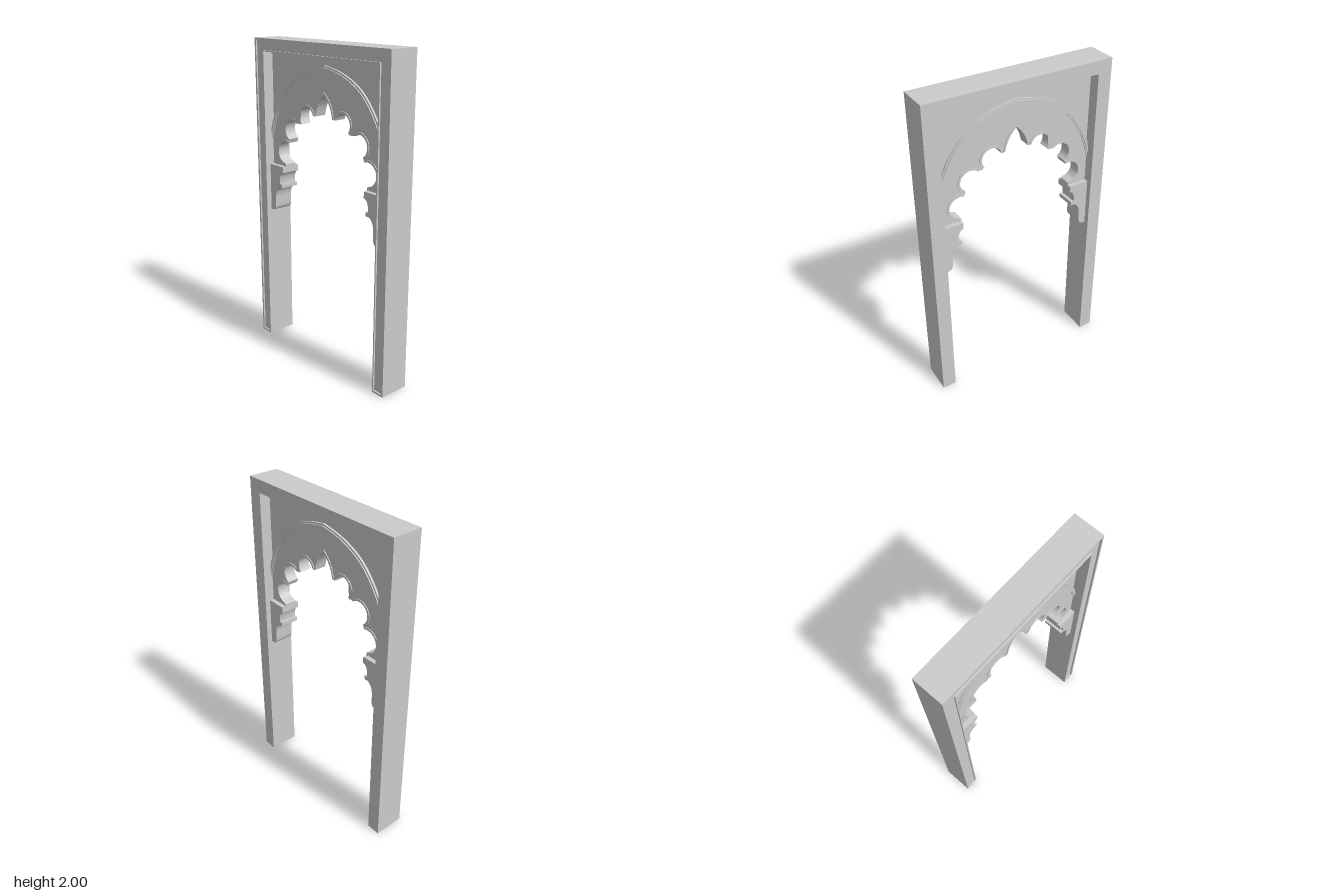
import * as THREE from 'three';
import { toCreasedNormals } from 'three/addons/utils/BufferGeometryUtils.js';

const W = 0.587, H = 2, D = 0.096;       // frame half width, height, half depth
const IW = 0.5, IH = 1.92;               // clear opening of the frame
const SPRING = 1.205;                    // level where the arch meets the corbels

const V = (x, y) => new THREE.Vector2(x, y);
const mirror = (pts) => pts.map((p) => V(-p.x, p.y)).reverse();
// Full left-to-right line from a half running apex -> right end
const whole = (half) => [...mirror(half), ...half.slice(1)];
const band = (outer, inner) => new THREE.Shape([...outer, ...[...inner].reverse()]);

// U-shaped (doorway) outline between two inset rectangles
function doorway(outX, outY, inX, inY, bottom = 0) {
  return new THREE.Shape([
    V(-outX, bottom), V(-inX, bottom), V(-inX, inY), V(inX, inY),
    V(inX, bottom), V(outX, bottom), V(outX, outY), V(-outX, outY),
  ]);
}

// Large pointed arch; t = 0 is the inner edge of the moulding, 1 the outer edge
function archLine(t) {
  const inner = [[0, 1.838], [0.16, 1.8], [0.32, 1.705], [0.44, 1.54], [0.5, 1.37]];
  const outer = [[0, 1.872], [0.16, 1.836], [0.31, 1.758], [0.425, 1.625], [0.5, 1.47]];
  const pts = inner.map(([x, y], i) =>
    V(THREE.MathUtils.lerp(x, outer[i][0], t), THREE.MathUtils.lerp(y, outer[i][1], t)));
  return whole(new THREE.SplineCurve(pts).getPoints(28));
}

// Scalloped opening edge, moved outwards by d
function foilLine(d) {
  const half = new THREE.SplineCurve([
    V(0, 1.702 + d * 1.2), V(0.028 + d * 0.8, 1.673 + d * 0.6),
    V(0.058 + d, 1.625), V(0.075 + d * 0.6, 1.567 + d * 0.3),
  ]).getPoints(14);
  // centre x, centre y, radius, start and end angle in degrees
  const foils = [
    [0.16, 1.55, 0.064, 166, -42],
    [0.297, 1.447, 0.068, 132, -58],
    [0.37, 1.298, 0.07, 112, -82],
  ];
  for (const [cx, cy, r, a, b] of foils) {
    for (let i = 0; i <= 20; i++) {
      const ang = THREE.MathUtils.degToRad(THREE.MathUtils.lerp(a, b, i / 20));
      half.push(V(cx + (r + d) * Math.cos(ang), cy + (r + d) * Math.sin(ang)));
    }
  }
  half.push(V(0.368 + d, 1.222 - d * 0.5), V(0.368 + d, SPRING));
  return whole(half);
}

// Bracket outline on the +x side
function corbelShape(side) {
  const s = new THREE.Shape();
  s.moveTo(0.5, SPRING);
  s.lineTo(0.369, SPRING);
  s.lineTo(0.369, 1.166);
  s.lineTo(0.378, 1.164);
  s.quadraticCurveTo(0.407, 1.15, 0.404, 1.088);
  s.lineTo(0.384, 1.088);
  s.lineTo(0.384, 1.063);
  s.lineTo(0.41, 1.063);
  s.quadraticCurveTo(0.448, 1.045, 0.449, 0.985);
  s.lineTo(0.449, 0.935);
  s.quadraticCurveTo(0.453, 0.9, 0.482, 0.9);
  s.lineTo(0.5, 0.9);
  const pts = s.getPoints(10);
  return new THREE.Shape(side > 0 ? pts : mirror(pts));
}

export function createModel() {
  const model = new THREE.Group();
  const material = new THREE.MeshStandardMaterial({ color: 0xcccccc });

  // Slab of a shape between two depths
  function slab(name, shape, z0, z1) {
    const geo = new THREE.ExtrudeGeometry(shape, { depth: z1 - z0, bevelEnabled: false, curveSegments: 12 });
    geo.translate(0, 0, z0);
    const mesh = new THREE.Mesh(toCreasedNormals(geo, 0.6), material);
    mesh.name = name;
    model.add(mesh);
  }

  // Door frame with a thin raised rim around its front face
  const step = 0.01, rim = 0.013, inRim = 0.008;
  slab('frame', doorway(W, H, IW, IH), -D, D - step);
  slab('frameOuterRim', doorway(W, H, W - rim, H - rim), D - step, D);
  slab('frameInnerRim', doorway(IW + inRim, IH + inRim, IW, IH), D - step, D);
  for (const s of [-1, 1]) {
    const a = s * (IW + inRim), b = s * (W - rim);
    const foot = new THREE.Shape([V(a, 0), V(b, 0), V(b, rim), V(a, rim)]);
    slab('frameFootRim', foot, D - step, D);
  }

  // Thin wall above the pointed arch
  const middle = archLine(0.5);
  slab('spandrel', new THREE.Shape([...middle, V(IW, IH), V(-IW, IH)]), -0.026, 0.026);

  // Scalloped arch wall and the fillet along its edge
  const wallTop = [V(-IW, SPRING), ...middle, V(IW, SPRING)];
  slab('archWall', band(wallTop, foilLine(0.006)), -0.033, 0.033);
  slab('scallopTrim', band(foilLine(0.013), foilLine(0)), -0.038, 0.038);

  // Stepped moulding over the arch
  slab('archMoulding', band(archLine(1), archLine(0)), -0.039, 0.039);
  slab('archMouldingRidge', band(archLine(0.7), archLine(0.3)), -0.046, 0.046);

  // Corbels carrying the arch
  slab('leftCorbel', corbelShape(1), -0.062, 0.062);
  slab('rightCorbel', corbelShape(-1), -0.062, 0.062);

  return model;
}
